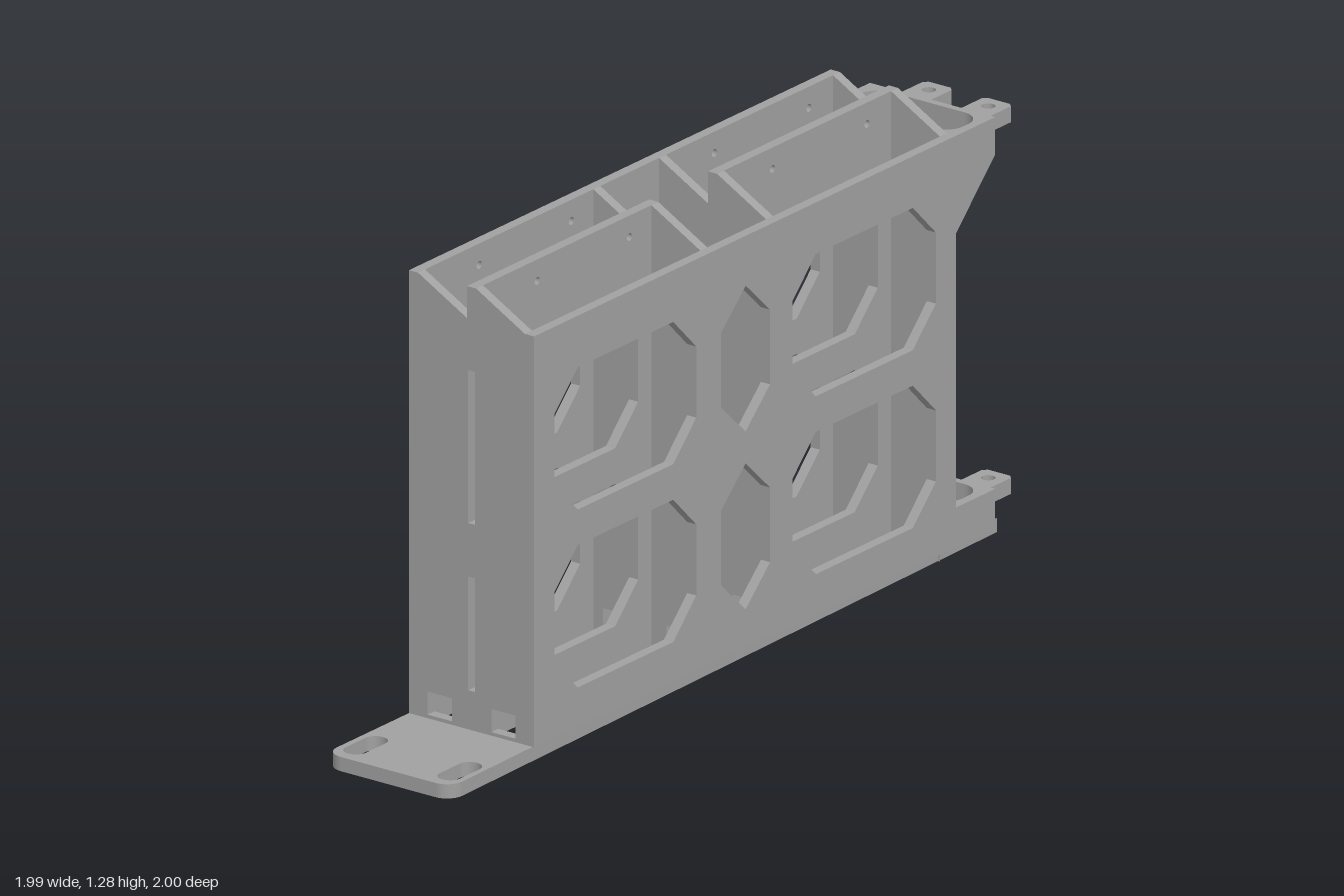
import * as THREE from 'three';

const HALF = 0.206;   // half width of the frame
const T = 0.03;       // sheet thickness
const U0 = -0.875, U1 = 0.954, FLOOR = 0.04;
const LOW = 1.195, HIGH = 1.285;
const LUGS = [0.143, 0.046, -0.052, -0.149];

const path = (pts) => new THREE.Path(pts.map(([x, y]) => new THREE.Vector2(x, y)));
const shape = (pts) => new THREE.Shape(pts.map(([x, y]) => new THREE.Vector2(x, y)));
const rect = (x0, y0, x1, y1) => [[x0, y0], [x1, y0], [x1, y1], [x0, y1]];

function circle(x, y, r) {
  return new THREE.Path().absarc(x, y, r, 0, Math.PI * 2, true);
}

function roundRect(x0, y0, x1, y1, r) {
  const p = new THREE.Path();
  p.absarc(x1 - r, y1 - r, r, 0, Math.PI / 2);
  p.absarc(x0 + r, y1 - r, r, Math.PI / 2, Math.PI);
  p.absarc(x0 + r, y0 + r, r, Math.PI, Math.PI * 1.5);
  p.absarc(x1 - r, y0 + r, r, Math.PI * 1.5, Math.PI * 2);
  p.closePath();
  return p;
}

// eight-sided opening; a chamfer of half the width makes it pointed
function opening(x0, x1, y0, y1, c) {
  const pts = [[x0, y0 + 0.1], [x0 + c, y0], [x1 - c, y0], [x1, y0 + 0.1],
    [x1, y1 - 0.1], [x1 - c, y1], [x0 + c, y1], [x0, y1 - 0.1]];
  return path(pts.filter((p, i) => i === 0 || Math.hypot(p[0] - pts[i - 1][0], p[1] - pts[i - 1][1]) > 0.001));
}

const extrude = (s, depth) => new THREE.ExtrudeGeometry(s, { depth, bevelEnabled: false, curveSegments: 10 });

// horizontal slab from a plan outline
const slab = (s, y, h) => extrude(s, h).rotateX(-Math.PI / 2).translate(0, y, 0);

export function createModel() {
  const grey = new THREE.MeshStandardMaterial({ color: 0xa0a0a0 });
  grey.name = 'grey';
  const model = new THREE.Group();
  model.name = 'slottedFrame';
  const frame = new THREE.Group();
  frame.name = 'frame';
  frame.rotation.y = Math.PI / 4;
  model.add(frame);
  const add = (name, geometry) => {
    const mesh = new THREE.Mesh(geometry, grey);
    mesh.name = name;
    frame.add(mesh);
  };

  // base plate with rounded mounting end, windows, slots and notched hinge end
  const end = 1.185, left = -1.237, r = 0.05;
  const base = new THREE.Shape();
  base.moveTo(end, -HALF);
  for (const v of LUGS) base.absarc(end, -v, 0.022, -Math.PI / 2, Math.PI / 2, true);
  base.lineTo(end, HALF);
  base.absarc(left + r, HALF - r, r, Math.PI / 2, Math.PI);
  base.absarc(left + r, -HALF + r, r, Math.PI, Math.PI * 1.5);
  base.closePath();
  for (const s of [-1, 1]) {
    const v0 = s > 0 ? 0.015 : -HALF + T;
    const v1 = s > 0 ? HALF - T : -0.015;
    base.holes.push(path(rect(U0 + T, v0, -0.115, v1)), path(rect(0.2, v0, U1 - T, v1)));
    base.holes.push(roundRect(-1.205, s * 0.155 - 0.033, -1.055, s * 0.155 + 0.033, 0.0325));
  }
  add('basePlate', slab(base, 0, FLOOR));

  // long upright sheets: two outer panels and a divider in two lengths
  const bays = [[-0.786, -0.172], [0.246, 0.867]];
  const pins = [[-0.61, -0.21], [0.41, 0.82]];
  function sheet(name, x0, x1, top, v, sides, pointed) {
    const s = shape(rect(x0, FLOOR, x1, top));
    for (const y of [0.15, 0.65]) {
      for (const i of sides) s.holes.push(opening(...bays[i], y, y + 0.4, 0.1));
      if (pointed) s.holes.push(opening(-0.064, 0.148, y - 0.005, y + 0.405, 0.106));
    }
    if (top === HIGH) for (const i of sides) for (const u of pins[i]) s.holes.push(circle(u, 1.225, 0.011));
    add(name, extrude(s, T).translate(0, 0, v));
  }
  sheet('frontPanel', U0, U1, LOW, HALF - T, [0, 1], true);
  sheet('backPanel', U0, U1, HIGH, -HALF, [0, 1], true);
  sheet('leftDivider', U0 + T, -0.115, HIGH, -T / 2, [0], false);
  sheet('rightDivider', 0.2, U1 - T, HIGH, -T / 2, [1], false);

  // cross walls, each half sloping down toward the front
  const inner = HALF - T;
  function crossWall(name, u, slots, ports) {
    const s = shape([[-inner, FLOOR], [inner, FLOOR], [inner, LOW], [T / 2, HIGH],
      [-T / 2, HIGH], [-T / 2, LOW], [-inner, HIGH]]);
    if (slots) for (const [y0, y1] of [[0.15, 0.47], [0.62, 1.05]]) s.holes.push(path(rect(-0.011, y0, 0.011, y1)));
    if (ports) for (const v of [-0.105, 0.105]) s.holes.push(path(rect(v - 0.04, 0.05, v + 0.04, 0.115)));
    add(name, extrude(s, T).rotateY(-Math.PI / 2).translate(u + T, 0, 0));
  }
  crossWall('leftEndWall', U0, true, true);
  crossWall('middleWallLeft', -0.115, false, true);
  crossWall('middleWallRight', 0.17, false, true);
  crossWall('rightEndWall', U1 - T, true, false);

  // hinge brackets: a rim around a rounded pocket, the upper one cut off at a slope
  function bracket(name, y0, y1, sloped) {
    const s = shape(rect(U1, -HALF, 1.124, HALF));
    s.holes.push(roundRect(U1 + 0.005, -0.18, 1.103, 0.18, 0.06));
    const g = slab(s, y0, y1 - y0);
    if (sloped) {
      const p = g.attributes.position;
      for (let i = 0; i < p.count; i++) {
        if (p.getY(i) < y0 + 0.001) p.setY(i, y0 + p.getX(i) - U1);
      }
      g.computeVertexNormals();
    }
    add(name, g);
  }
  bracket('upperBracket', 0.92, LOW, true);
  bracket('lowerBracket', FLOOR, 0.15, false);

  // hinge lugs at alternating heights
  for (const [name, top] of [['upperLug', LOW], ['lowerLug', 0.15]]) {
    LUGS.forEach((v, i) => {
      const c = 0.012, a = -v - 0.048, b = -v + 0.048;
      const s = shape([[1.115, a], [1.224 - c, a], [1.224, a + c], [1.224, b - c], [1.224 - c, b], [1.115, b]]);
      s.holes.push(circle(1.177, -v, 0.019));
      add(name, slab(s, top - 0.045 - (i % 2) * 0.052, 0.045));
    });
  }
  return model;
}
